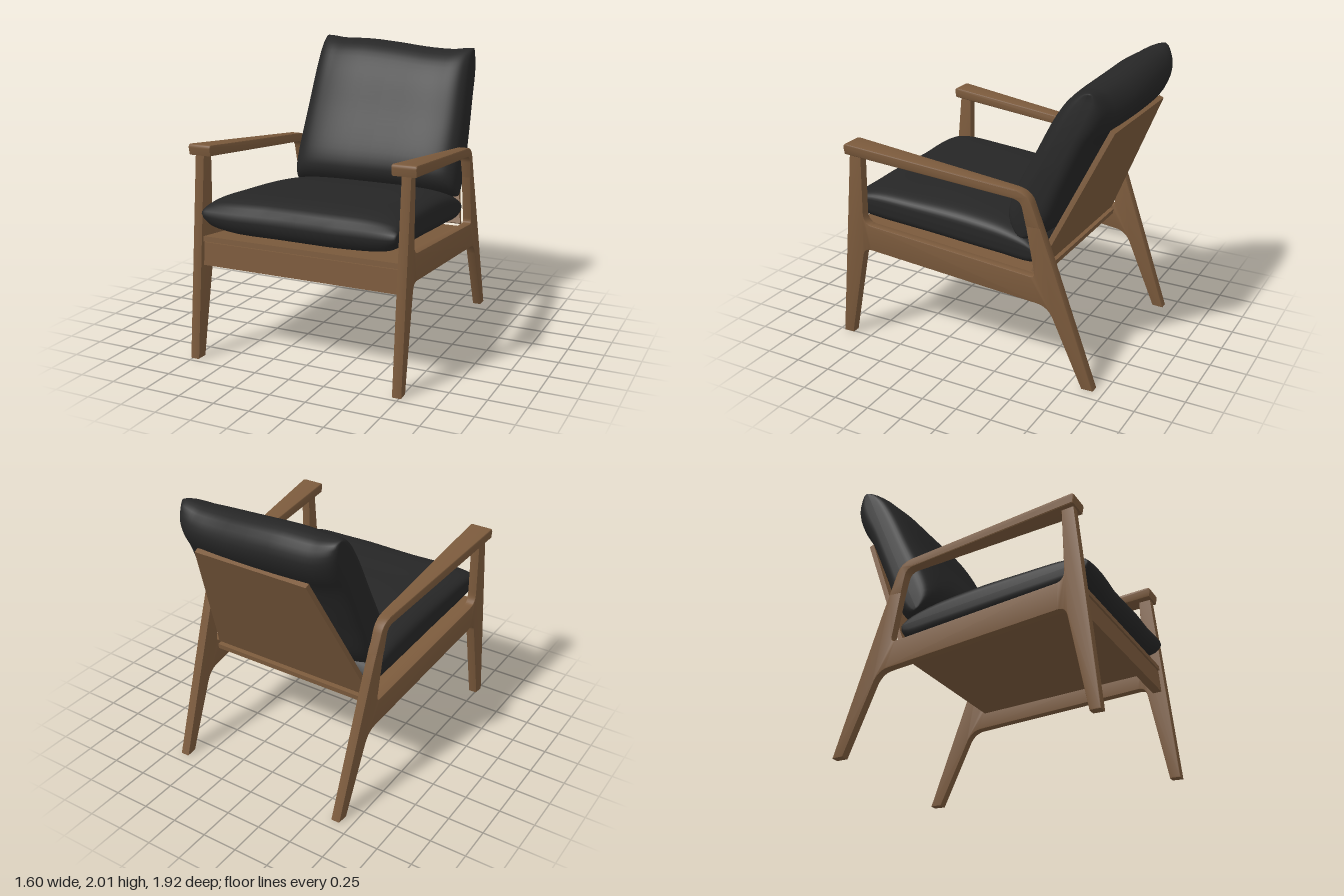
import * as THREE from 'three';
import { toCreasedNormals } from 'three/addons/utils/BufferGeometryUtils.js';

const wood = new THREE.MeshStandardMaterial({ color: 0x7b5a3c });
wood.name = 'walnut wood';
const fabric = new THREE.MeshStandardMaterial({ color: 0x262626 });
fabric.name = 'black fabric';

function addMesh(group, name, geometry, material) {
  const mesh = new THREE.Mesh(geometry, material);
  mesh.name = name;
  group.add(mesh);
  return mesh;
}

// Moves every vertex by a rule
function warp(geometry, rule) {
  const p = geometry.attributes.position;
  const v = new THREE.Vector3();
  for (let i = 0; i < p.count; i++) {
    rule(v.fromBufferAttribute(p, i));
    p.setXYZ(i, v.x, v.y, v.z);
  }
  geometry.computeVertexNormals();
  return geometry;
}

// Side profile in (z, y), extruded across x; centre and half width vary with z
function sidePart(shape, side, centre, halfWidth) {
  const bevel = 0.008, half = 0.05;
  const geo = new THREE.ExtrudeGeometry(shape, {
    depth: 2 * (half - bevel), bevelThickness: bevel, bevelSize: bevel,
    bevelOffset: -bevel, bevelSegments: 2, curveSegments: 8,
  });
  geo.translate(0, 0, bevel - half).rotateY(-Math.PI / 2);
  warp(geo, (v) => { v.x = side * centre(v.z) + (v.x / half) * halfWidth(v.z); });
  return toCreasedNormals(geo, 0.6);
}

// Front leg, apron and rear leg in one piece
function frameShape() {
  const s = new THREE.Shape();
  s.moveTo(0.965, 0);
  s.lineTo(0.828, 1.4);
  s.lineTo(0.745, 1.39);
  s.lineTo(0.753, 0.95);
  s.quadraticCurveTo(0.755, 0.87, 0.69, 0.863);
  s.lineTo(-0.485, 0.737);
  s.quadraticCurveTo(-0.515, 0.735, -0.508, 0.775);
  s.lineTo(-0.448, 1.1);
  s.lineTo(-0.541, 1.1);
  s.lineTo(-0.595, 0.955);
  s.lineTo(-0.93, 0);
  s.lineTo(-0.85, 0);
  s.lineTo(-0.64, 0.47);
  s.quadraticCurveTo(-0.605, 0.545, -0.53, 0.553);
  s.lineTo(0.7, 0.68);
  s.quadraticCurveTo(0.755, 0.685, 0.767, 0.63);
  s.lineTo(0.89, 0);
  s.closePath();
  return s;
}

// Armrest that bends down into the rear leg
function armShape() {
  const s = new THREE.Shape();
  s.moveTo(0.843, 1.372);
  s.lineTo(0.852, 1.42);
  s.quadraticCurveTo(0.852, 1.447, 0.825, 1.444);
  s.lineTo(-0.37, 1.318);
  s.quadraticCurveTo(-0.46, 1.307, -0.49, 1.235);
  s.lineTo(-0.548, 1.08);
  s.lineTo(-0.452, 1.08);
  s.lineTo(-0.425, 1.2);
  s.quadraticCurveTo(-0.415, 1.248, -0.36, 1.255);
  s.closePath();
  return s;
}

// Tapered board whose centre line runs from a to b, given as (z, y)
function board(a, b, halfA, halfB, thickness) {
  const dz = b[0] - a[0], dy = b[1] - a[1], length = Math.hypot(dz, dy);
  const geo = new THREE.BoxGeometry(2, length, thickness);
  warp(geo, (v) => { v.x *= THREE.MathUtils.lerp(halfA, halfB, v.y / length + 0.5); });
  geo.rotateX(Math.atan2(dz, dy));
  return geo.translate(0, (a[1] + b[1]) / 2, (a[0] + b[0]) / 2);
}

// Pillow: closed (z, y) profile carried across x, thinning to a seam at each end
function cushion(profile, mid, axis, rule) {
  const curve = new THREE.CatmullRomCurve3(
    profile.map(([z, y]) => new THREE.Vector3(0, y, z)), true);
  const loop = curve.getSpacedPoints(64).slice(0, 64);
  const slices = 40, n = loop.length, positions = [], index = [];
  const l = Math.hypot(axis[0], axis[1]), az = axis[0] / l, ay = axis[1] / l;
  for (let i = 0; i <= slices; i++) {
    const a = (i / slices - 0.5) * Math.PI;
    const x = Math.sign(a) * Math.sqrt(Math.abs(Math.sin(a)));
    const thin = Math.sqrt(Math.max(0, Math.cos(a)));
    const long = 0.96 + 0.04 * thin;
    for (const p of loop) {
      const dz = p.z - mid[0], dy = p.y - mid[1];
      const u = (dz * az + dy * ay) * long, w = (dy * az - dz * ay) * thin;
      positions.push(x, mid[1] + u * ay + w * az, mid[0] + u * az - w * ay);
    }
  }
  for (let i = 0; i < slices; i++) {
    for (let j = 0; j < n; j++) {
      const k = (j + 1) % n, a = i * n + j, b = a + n, c = (i + 1) * n + k, d = i * n + k;
      index.push(a, b, c, a, c, d);
    }
  }
  const geo = new THREE.BufferGeometry();
  geo.setAttribute('position', new THREE.Float32BufferAttribute(positions, 3));
  geo.setIndex(index);
  return warp(geo, rule);
}

export function createModel() {
  const model = new THREE.Group();
  model.name = 'loungeChair';

  // Side frames and armrests, splayed towards the front
  for (const side of [1, -1]) {
    const label = side > 0 ? 'left' : 'right';
    addMesh(model, label + 'SideFrame', sidePart(frameShape(), side,
      (z) => 0.64 + 0.0505 * (z + 0.9), () => 0.0325), wood);
    addMesh(model, label + 'Armrest', sidePart(armShape(), side,
      (z) => 0.6815 + 0.0429 * z, (z) => 0.0524 + 0.0358 * z), wood);
  }

  // Front rail, seat board and back board
  addMesh(model, 'frontRail', board([0.84, 0.635], [0.828, 0.79], 0.697, 0.697, 0.06), wood);
  addMesh(model, 'seatBoard', board([-0.5, 0.69], [0.865, 0.817], 0.63, 0.697, 0.035), wood);
  addMesh(model, 'backBoard', board([-0.472, 0.735], [-0.9, 1.69], 0.625, 0.42, 0.035), wood);

  // Seat cushion
  const seatProfile = [
    [0.9, 0.97], [0.87, 1.05], [0.75, 1.1], [0.4, 1.1], [0, 1.075], [-0.3, 1.02],
    [-0.46, 0.94], [-0.5, 0.84], [-0.46, 0.755], [-0.2, 0.765], [0.3, 0.81],
    [0.75, 0.85], [0.86, 0.88],
  ];
  addMesh(model, 'seatCushion', cushion(seatProfile, [0.2, 0.94], [1, 0.1], (v) => {
    const t = v.x;
    v.x *= 0.65 + 0.05 * v.z;
    if (v.z > 0.5) v.z += (0.02 * t * t - 0.01 + 0.006 * Math.sin(7 * t)) * (v.z - 0.5) * 2.5;
  }), fabric);

  // Back cushion, with one slumped upper corner
  const backProfile = [
    [-0.23, 1.09], [-0.24, 1.19], [-0.42, 1.55], [-0.57, 1.83], [-0.67, 1.95],
    [-0.79, 2.0], [-0.89, 1.975], [-0.955, 1.86], [-0.925, 1.75], [-0.84, 1.62],
    [-0.7, 1.31], [-0.57, 1.02], [-0.45, 0.935], [-0.32, 0.98],
  ];
  addMesh(model, 'backCushion', cushion(backProfile, [-0.6, 1.48], [-0.46, 1], (v) => {
    const t = v.x;
    const h = THREE.MathUtils.clamp((v.y - 1.1) / 0.85, 0, 1);
    v.x *= 0.635 - 0.02 * h - (t > 0 ? 0.035 * h * h : 0);
    v.y += h * (0.025 * Math.max(0, Math.abs(t) - 0.75) * 4
      - 0.045 * THREE.MathUtils.smoothstep(t, -0.5, 0.65));
    v.z += h * 0.03 * THREE.MathUtils.smoothstep(t, -0.3, 0.6);
  }), fabric);

  return model;
}
